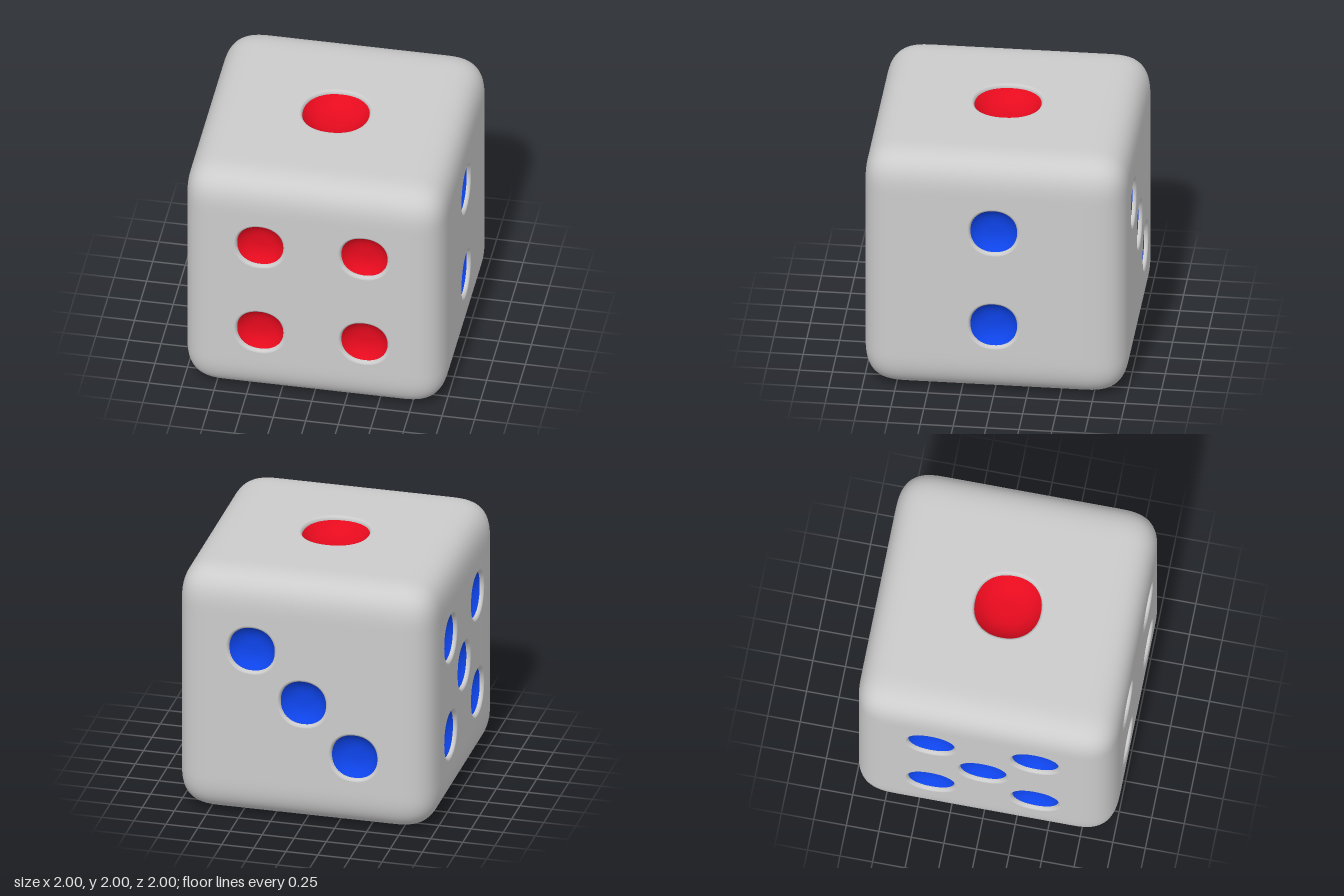
import * as THREE from 'three';

const FLAT = 0.65;         // half-width of the flat middle of each face
const ROUND = 1 - FLAT;    // reach of the rounded edges
const POWER = 3.1;         // fullness of the edge curve
const SEGMENTS = 48;
const LIP = 0.022;         // width of the soft rim around a pip
const SINK = 0.03;         // depth of that rim

const grey = new THREE.MeshStandardMaterial({ color: 0xcccccc });
const red = new THREE.MeshStandardMaterial({ color: 0xe60a1e });
const blue = new THREE.MeshStandardMaterial({ color: 0x0e44ea });

function addMesh(parent, name, geometry, material) {
  const mesh = new THREE.Mesh(geometry, material);
  mesh.name = name;
  parent.add(mesh);
  return mesh;
}

// Slightly squared circle: radius factor at an angle
function squircle(a) {
  const n = 2.2;
  return (Math.abs(Math.cos(a)) ** n + Math.abs(Math.sin(a)) ** n) ** (-1 / n);
}

// Rounded border around one face, facing +z
function roundedBorder() {
  const steps = 14, lines = [];
  for (let i = steps; i >= 0; i--) lines.push([-FLAT, -Math.tan(i / steps * Math.PI / 4)]);
  for (let i = 0; i <= steps; i++) lines.push([FLAT, Math.tan(i / steps * Math.PI / 4)]);
  const count = lines.length, positions = [], normals = [], index = [];
  for (const [qy, dy] of lines) {
    for (const [qx, dx] of lines) {
      const d = [dx, dy, 1];
      const len = d.reduce((sum, c) => sum + Math.abs(c) ** POWER, 0) ** (1 / POWER);
      positions.push(qx + ROUND * dx / len, qy + ROUND * dy / len, FLAT + ROUND / len);
      const n = new THREE.Vector3(...d.map(c => Math.sign(c) * Math.abs(c) ** (POWER - 1))).normalize();
      normals.push(n.x, n.y, n.z);
    }
  }
  for (let j = 0; j < count - 1; j++) {
    for (let i = 0; i < count - 1; i++) {
      if (i === steps && j === steps) continue; // the flat panel fills the middle
      const a = j * count + i, b = a + 1, c = b + count, d = a + count;
      index.push(a, b, c, a, c, d);
    }
  }
  const geometry = new THREE.BufferGeometry();
  geometry.setAttribute('position', new THREE.Float32BufferAttribute(positions, 3));
  geometry.setAttribute('normal', new THREE.Float32BufferAttribute(normals, 3));
  geometry.setIndex(index);
  return geometry;
}

// Flat middle of a face with an opening for each pip
function flatPanel(pips, radius) {
  const shape = new THREE.Shape([[-1, -1], [1, -1], [1, 1], [-1, 1]]
    .map(([x, y]) => new THREE.Vector2(x * FLAT, y * FLAT)));
  for (const [x, y] of pips) {
    const points = [];
    for (let i = 0; i < SEGMENTS; i++) {
      const a = i / SEGMENTS * Math.PI * 2, r = radius * squircle(a);
      points.push(new THREE.Vector2(x + r * Math.cos(a), y + r * Math.sin(a)));
    }
    shape.holes.push(new THREE.Path(points));
  }
  return new THREE.ShapeGeometry(shape).translate(0, 0, 1);
}

// Revolved profile with a squared outline, opening towards +z
function hollow(profile) {
  const geometry = new THREE.LatheGeometry(profile, SEGMENTS);
  const p = geometry.attributes.position;
  for (let i = 0; i < p.count; i++) {
    const f = squircle(Math.atan2(p.getX(i), p.getZ(i)));
    p.setXYZ(i, p.getX(i) * f, p.getY(i), p.getZ(i) * f);
  }
  return geometry.rotateX(Math.PI / 2);
}

// Soft rim leading from the face into a pip
function rimGeometry(radius) {
  const profile = [];
  for (let i = 0; i <= 6; i++) {
    const a = i / 6 * Math.PI / 2;
    profile.push(new THREE.Vector2(radius + LIP * (1 - Math.sin(a)), -SINK * (1 - Math.cos(a))));
  }
  return hollow(profile);
}

// Coloured bowl of a pip: steep at the wall, shallow in the middle
function bowlGeometry(radius) {
  const profile = [], depth = radius * 0.37;
  for (let i = 0; i <= 14; i++) {
    const t = Math.max(Math.cos(i / 14 * Math.PI / 2), 0);
    profile.push(new THREE.Vector2(radius * t, -SINK - depth * (1 - t ** 3)));
  }
  return hollow(profile);
}

export function createModel() {
  const die = new THREE.Group();
  die.name = 'die';
  const e = 0.4, h = Math.PI / 2;
  const corners = [[-e, e], [e, e], [-e, -e], [e, -e]];
  const faces = [
    { name: 'frontFace', turn: [0, 0], pips: corners, color: red },
    { name: 'rightFace', turn: [0, h], pips: [[0, e], [0, -e]], color: blue },
    { name: 'backFace', turn: [0, 2 * h], pips: [[-e, e], [0, 0], [e, -e]], color: blue },
    { name: 'leftFace', turn: [0, -h], pips: [...corners, [0, 0]], color: blue },
    { name: 'topFace', turn: [-h, 0], pips: [[0, 0]], color: red, radius: 0.253 },
    { name: 'bottomFace', turn: [h, 0], pips: [...corners, [-e, 0], [e, 0]], color: blue },
  ];
  const border = roundedBorder();

  for (const { name, turn, pips, color, radius = 0.177 } of faces) {
    const face = new THREE.Group();
    face.name = name;
    face.rotation.set(turn[0], turn[1], 0);
    face.position.y = 1;
    addMesh(face, 'roundedBorder', border, grey);
    addMesh(face, 'flatPanel', flatPanel(pips, radius + LIP), grey);
    const rim = rimGeometry(radius), bowl = bowlGeometry(radius);
    for (const [x, y] of pips) {
      addMesh(face, 'pipRim', rim, grey).position.set(x, y, 1);
      addMesh(face, 'pip', bowl, color).position.set(x, y, 1);
    }
    die.add(face);
  }
  return die;
}
